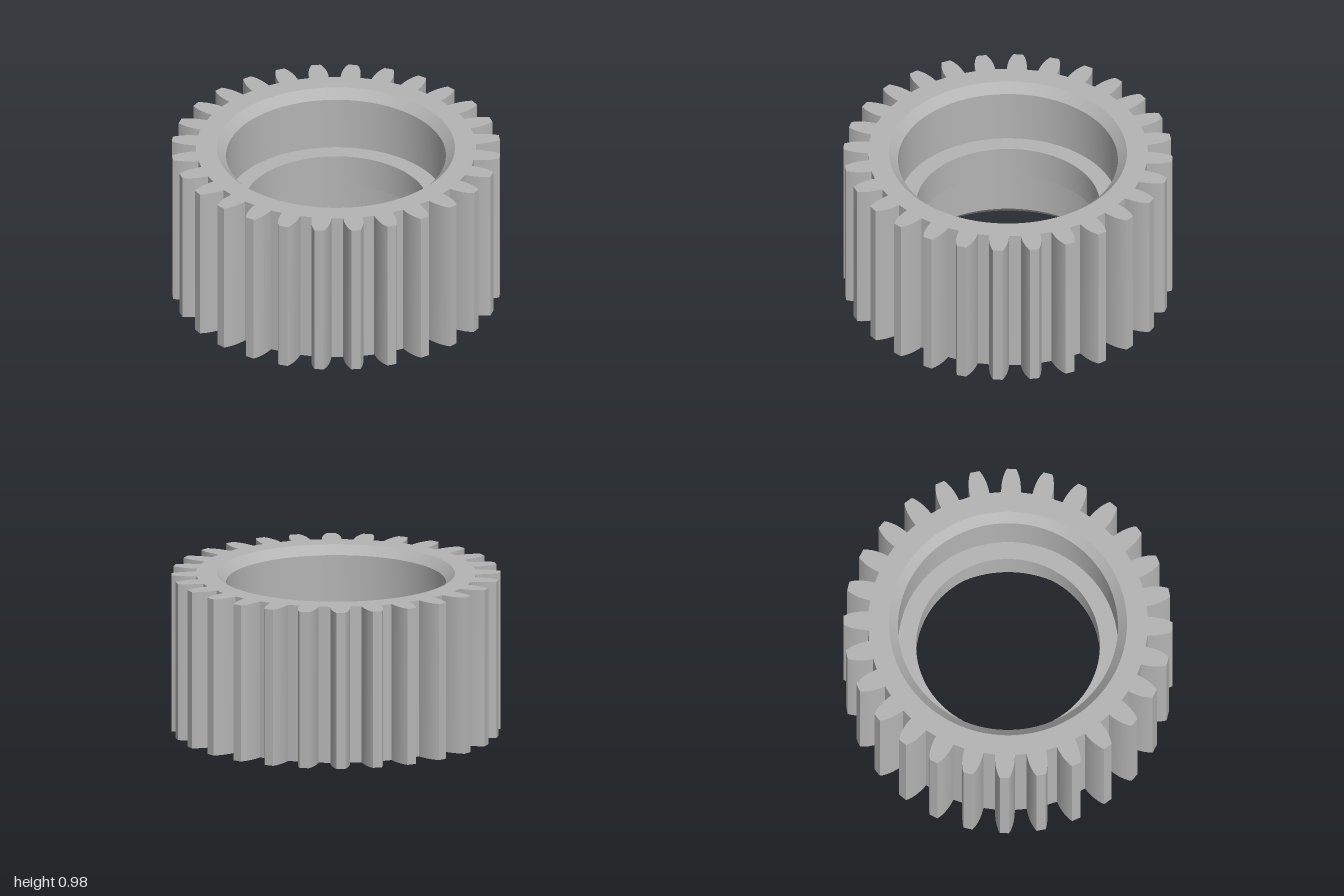
import * as THREE from 'three';
import { toCreasedNormals } from 'three/addons/utils/BufferGeometryUtils.js';

const HEIGHT = 0.98;
const TEETH = 28;
const BORE_SEGMENTS = 112;
const RIM = 0.725;

// Half of one tooth, root to tip: [radius, half angle in degrees]
const FLANK = [
  [0.853, 4.0], [0.875, 3.92], [0.9, 3.72], [0.925, 3.42],
  [0.95, 3.02], [0.975, 2.46], [0.99, 2.05], [1.0035, 1.6],
];

const polar = (r, a) => new THREE.Vector2(r * Math.cos(a), r * Math.sin(a));

// Closed counter-clockwise outline of all the teeth
function gearOutline() {
  const points = [];
  const pitch = (Math.PI * 2) / TEETH;
  for (let i = 0; i < TEETH; i++) {
    const centre = (i + 0.5) * pitch;
    for (const [r, d] of FLANK) points.push(polar(r, centre - THREE.MathUtils.degToRad(d)));
    for (const [r, d] of [...FLANK].reverse()) points.push(polar(r, centre + THREE.MathUtils.degToRad(d)));
  }
  return points;
}

// Upright wall following the outline
function wallGeometry(outline) {
  const positions = [];
  outline.forEach((p, i) => {
    const q = outline[(i + 1) % outline.length];
    const a = [p.x, 0, -p.y], b = [q.x, 0, -q.y];
    const c = [q.x, HEIGHT, -q.y], d = [p.x, HEIGHT, -p.y];
    positions.push(...a, ...b, ...c, ...a, ...c, ...d);
  });
  const geometry = new THREE.BufferGeometry();
  geometry.setAttribute('position', new THREE.Float32BufferAttribute(positions, 3));
  return toCreasedNormals(geometry, 0.45);
}

export function createModel() {
  const group = new THREE.Group();
  group.name = 'ringGear';
  const steel = new THREE.MeshStandardMaterial({ color: 0xb4b4b4 });
  steel.name = 'steelGrey';

  const add = (name, geometry) => {
    const mesh = new THREE.Mesh(geometry, steel);
    mesh.name = name;
    group.add(mesh);
    return mesh;
  };

  // Toothed outer wall
  const outline = gearOutline();
  add('teeth', wallGeometry(outline));

  // Flat end faces with the bore cut out
  const face = new THREE.Shape(outline);
  const hole = [];
  for (let i = 0; i < BORE_SEGMENTS; i++) hole.push(polar(RIM, (-i / BORE_SEGMENTS) * Math.PI * 2));
  face.holes.push(new THREE.Path(hole));
  const top = add('topFace', new THREE.ShapeGeometry(face));
  top.rotation.x = -Math.PI / 2;
  top.position.y = HEIGHT;
  add('bottomFace', new THREE.ShapeGeometry(face)).rotation.x = Math.PI / 2;

  // Chamfered bore with a narrower ledge in the middle, top to bottom
  const profile = [
    [RIM, HEIGHT], [0.67, HEIGHT - 0.055], [0.67, 0.59], [0.56, 0.59],
    [0.56, 0.39], [0.67, 0.39], [0.67, 0.055], [RIM, 0],
  ].map(([r, y]) => new THREE.Vector2(r, y));
  add('bore', toCreasedNormals(new THREE.LatheGeometry(profile, BORE_SEGMENTS), 0.45));

  return group;
}
